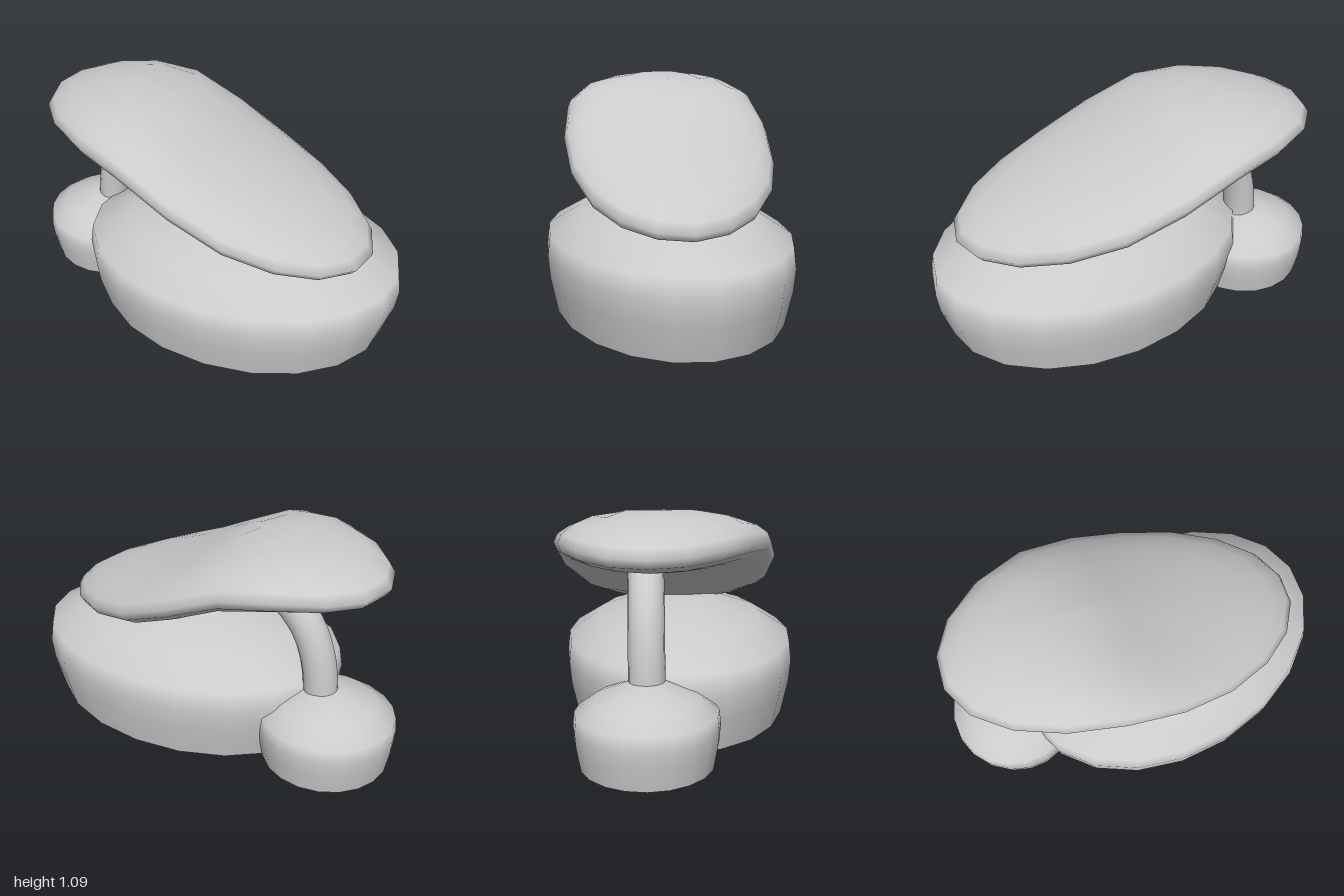
import * as THREE from 'three';
import { mergeVertices } from 'three/addons/utils/BufferGeometryUtils.js';

const material = new THREE.MeshStandardMaterial({ color: 0xcccccc });
const SIDES = 20;

// Shared mound profile: [radius factor, height factor]
const MOUND = [[0.925, 0], [0.985, 0.3], [1, 0.49], [0.98, 0.665], [0.72, 0.835], [0.28, 1], [0, 1.01]];

// Midline of the cap: height along x
const MIDLINE = [[-0.93, 0.95], [-0.68, 0.963], [-0.43, 0.957], [-0.24, 0.915], [-0.1, 0.845],
  [0.05, 0.768], [0.2, 0.703], [0.4, 0.635], [0.6, 0.58], [0.86, 0.52]];

function midHeight(x) {
  let i = 1;
  while (i < MIDLINE.length - 1 && x > MIDLINE[i][0]) i++;
  const [x0, y0] = MIDLINE[i - 1];
  const [x1, y1] = MIDLINE[i];
  return y0 + (y1 - y0) * (x - x0) / (x1 - x0);
}

function addMesh(parent, name, geometry) {
  const mesh = new THREE.Mesh(geometry, material);
  mesh.name = name;
  parent.add(mesh);
  return mesh;
}

// Rounded elliptical mound with a flat underside
function makeMound(name, x, z, rx, rz, height) {
  const group = new THREE.Group();
  group.name = name;
  const points = MOUND.map(([r, y]) => new THREE.Vector2(r, y));
  addMesh(group, name + 'Body', new THREE.LatheGeometry(points, SIDES).scale(rx, height, rz));
  const bottom = new THREE.CircleGeometry(MOUND[0][0], SIDES).rotateX(Math.PI / 2).scale(rx, 1, rz);
  addMesh(group, name + 'Underside', bottom);
  group.position.set(x, 0, z);
  return group;
}

// Flattened ellipsoid, skewed in plan and bent along the midline
function makeCap() {
  let geometry = new THREE.SphereGeometry(1, SIDES, 12);
  geometry.deleteAttribute('uv');
  geometry.deleteAttribute('normal');
  geometry = mergeVertices(geometry, 1e-4);
  const p = geometry.attributes.position;
  for (let i = 0; i < p.count; i++) {
    const x = -0.035 + 0.885 * p.getX(i);
    const z = -0.058 + 0.11 * p.getX(i) + 0.527 * p.getZ(i);
    p.setXYZ(i, x, midHeight(x) + 0.158 * p.getY(i), z);
  }
  geometry.computeVertexNormals();
  return geometry;
}

export function createModel() {
  const model = new THREE.Group();
  model.name = 'model';

  model.add(makeMound('largeMound', 0.18, 0, 0.82, 0.588, 0.575));
  model.add(makeMound('smallMound', -0.67, -0.17, 0.33, 0.325, 0.365));

  // Curved stem from the small mound up into the cap
  const path = new THREE.CatmullRomCurve3([
    [-0.633, 0.3], [-0.625, 0.42], [-0.602, 0.54], [-0.555, 0.66], [-0.48, 0.76], [-0.38, 0.84], [-0.3, 0.88],
  ].map(([x, y]) => new THREE.Vector3(x, y, -0.17)));
  addMesh(model, 'stem', new THREE.TubeGeometry(path, 16, 0.082, 16));

  addMesh(model, 'cap', makeCap());
  return model;
}
